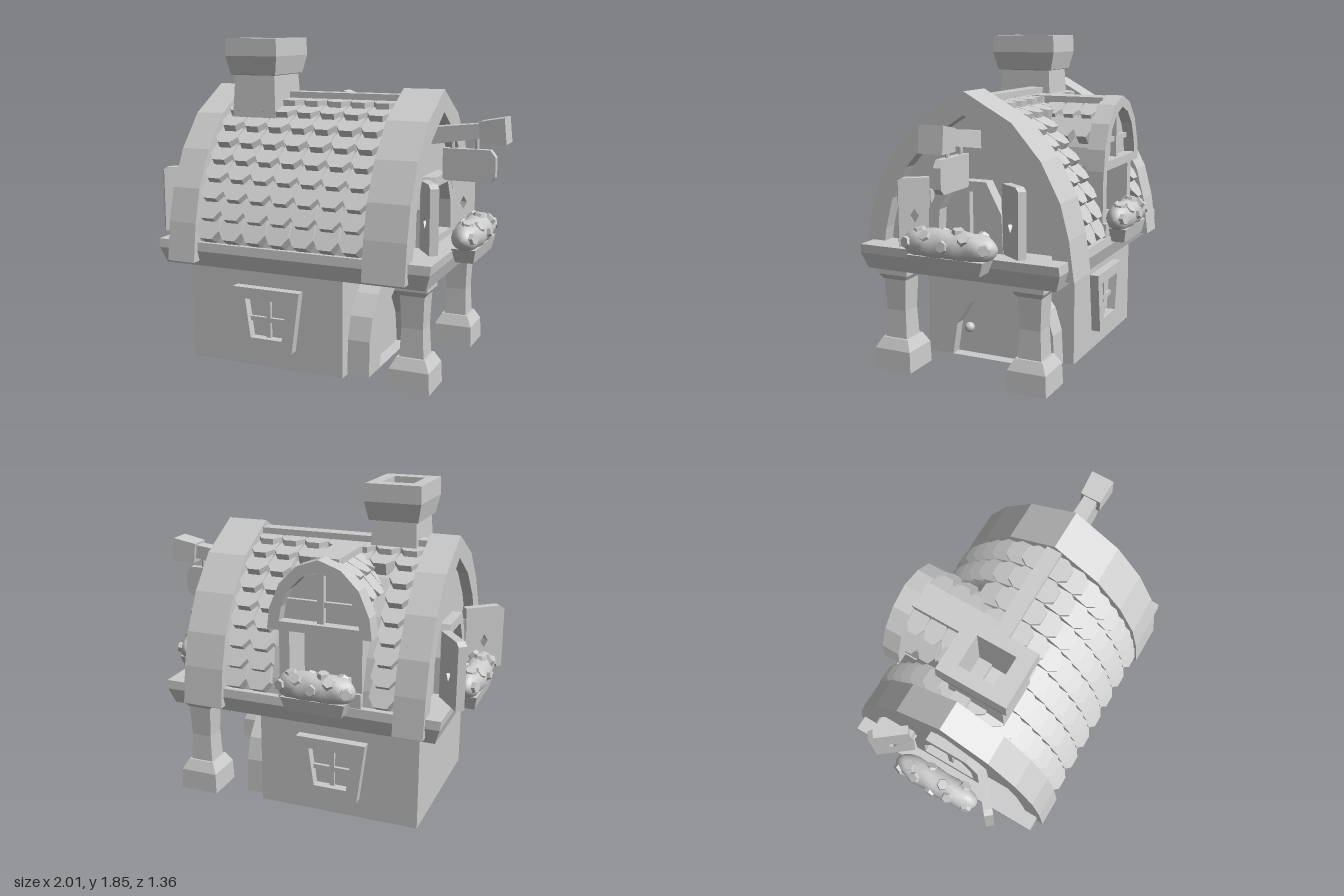
import * as THREE from 'three';
import { mergeGeometries } from 'three/addons/utils/BufferGeometryUtils.js';

const ZC = 0.045; // depth of the ridge line
const mat = new THREE.MeshStandardMaterial({ color: 0xcccccc, flatShading: true, side: THREE.DoubleSide });
const smoothMat = new THREE.MeshStandardMaterial({ color: 0xcccccc, side: THREE.DoubleSide });

export function createModel() {
  const root = new THREE.Group();
  const add = (name, geo, parent = root, material = mat) => {
    const m = new THREE.Mesh(geo, material);
    m.name = name;
    parent.add(m);
    return m;
  };
  const group = (name, parent = root) => {
    const g = new THREE.Group();
    g.name = name;
    parent.add(g);
    return g;
  };
  // Box given by its limits
  const box = (x0, x1, y0, y1, z0, z1) =>
    new THREE.BoxGeometry(x1 - x0, y1 - y0, z1 - z0).translate((x0 + x1) / 2, (y0 + y1) / 2, (z0 + z1) / 2);
  // Four-sided block with different bottom and top sizes
  const frustum = (w0, d0, w1, d1, y0, y1, x = 0, z = 0) => {
    const g = new THREE.BoxGeometry(1, y1 - y0, 1), p = g.attributes.position;
    for (let i = 0; i < p.count; i++) {
      const top = p.getY(i) > 0;
      p.setX(i, p.getX(i) * (top ? w1 : w0));
      p.setZ(i, p.getZ(i) * (top ? d1 : d0));
    }
    return g.translate(x, (y0 + y1) / 2, z);
  };
  // Square-section post from a profile of [half width, height]
  const squareLathe = (pts, depthRatio = 1) =>
    new THREE.LatheGeometry(pts.map(([r, y]) => new THREE.Vector2(r * Math.SQRT2, y)), 4)
      .rotateY(Math.PI / 4).scale(1, 1, depthRatio);
  const poly = (pts) => new THREE.Shape(pts.map(([x, y]) => new THREE.Vector2(x, y)));
  // Half profile, from the foot to the peak, mirrored into a full outline
  const flip = (half) => half.map(([x, y]) => [-x, y]);
  const arch = (half) => poly([...half, ...flip(half.filter((p) => p[0] > 0)).reverse()]);
  const ring = (outer, inner) => { outer.holes.push(inner); return outer; };
  const extrude = (shape, depth) => new THREE.ExtrudeGeometry(shape, { depth, bevelEnabled: false });
  const alongX = (shape, x0, x1) => extrude(shape, x1 - x0).rotateY(Math.PI / 2).translate(x0, 0, ZC);
  const rect = (x0, x1, y0, y1) => poly([[x0, y0], [x1, y0], [x1, y1], [x0, y1]]);

  // Ground floor: hollow walls open underneath
  add('groundFloorWalls', extrude(ring(rect(-0.73, 0.22, -0.52, 0.43), rect(-0.72, 0.21, -0.51, 0.42)), 0.59).rotateX(-Math.PI / 2));

  // Arched doorway
  const door = group('doorway');
  const doorInner = [[0.24, 0], [0.21, 0.19], [0.12, 0.33], [0, 0.4]];
  add('doorArch', alongX(ring(arch([[0.41, 0], [0.4, 0.2], [0.36, 0.33], [0.27, 0.44], [0.14, 0.53], [0, 0.56]]), arch(doorInner)), 0.21, 0.35), door);
  add('doorPanel', alongX(arch(doorInner), 0.21, 0.28), door);
  add('doorKnob', new THREE.SphereGeometry(0.03, 16, 10).translate(0.3, 0.16, 0.2), door, smoothMat);

  // Flared windows on both long walls
  for (const s of [1, -1]) {
    const w = group('groundFloorWindow');
    const trap = (t, b, y1, y0) => poly([[-b, y0], [b, y0], [t, y1], [-t, y1]]);
    add('windowFrame', extrude(ring(trap(0.207, 0.16, 0.47, 0.115), trap(0.13, 0.098, 0.405, 0.18)), 0.058), w);
    add('windowMullion', box(-0.013, 0.013, 0.17, 0.41, 0, 0.025), w);
    add('windowBar', box(-0.12, 0.12, 0.27, 0.296, 0, 0.025), w);
    w.position.set(-0.228, 0, ZC + s * 0.47);
    if (s < 0) w.rotation.y = Math.PI;
  }

  // Porch columns, open underneath
  const column = [[0.117, 0], [0.112, 0.12], [0.08, 0.18], [0.068, 0.18], [0.06, 0.34], [0.068, 0.52], [0.075, 0.525], [0.09, 0.55], [0.09, 0.59]];
  for (const z of [0.46, -0.365]) add('porchColumn', squareLathe(column).translate(0.62, 0, z));

  // Upper floor slab
  add('floorSlab', frustum(1.56, 1.14, 1.62, 1.2, 0.58, 0.67, -0.06, 0.04));
  add('floorSlabRim', frustum(1.62, 1.2, 1.63, 1.19, 0.67, 0.72, -0.06, 0.04));

  // Roof: attic end walls, shell with a dormer recess, thick end bands and ridge
  const DX = -0.19; // dormer centre
  const bandOuter = [[0.635, 0.61], [0.605, 0.83], [0.555, 1.02], [0.445, 1.23], [0.28, 1.42], [0, 1.575]];
  const bandInner = [[0.53, 0.61], [0.5, 0.8], [0.455, 0.97], [0.36, 1.15], [0.22, 1.31], [0, 1.45]];
  const shell = [[0.575, 0.62], [0.55, 0.81], [0.5, 0.98], [0.39, 1.18], [0.24, 1.36], [0, 1.5]];
  const recessed = poly([[0.36, 0.62], [0.36, 1.14], [0.41, 1.14], ...shell.slice(3), ...flip(shell.slice(0, 5)).reverse()]);
  add('leftAtticWall', alongX(arch(bandInner), 0.39, 0.55));
  add('rightAtticWall', alongX(arch(bandInner), -0.73, -0.62));
  add('roofShellRight', alongX(arch(shell), -0.63, DX - 0.2));
  add('roofShellMiddle', alongX(recessed, DX - 0.2, DX + 0.2));
  add('roofShellLeft', alongX(arch(shell), DX + 0.2, 0.4));
  add('leftRoofBand', alongX(ring(arch(bandOuter), arch(bandInner)), 0.39, 0.63));
  add('rightRoofBand', alongX(ring(arch(bandOuter), arch(bandInner)), -0.79, -0.62));
  add('roofRidge', box(-0.62, 0.39, 1.44, 1.54, ZC - 0.045, ZC + 0.045));

  // Roof tiles: rows of chamfered wedges, tipped out at the foot, laid down a half profile facing +z
  function tiles(half, x0, pitch, cols, rows, u0, u1, keep = () => true) {
    const curve = new THREE.CatmullRomCurve3(half.map(([z, y]) => new THREE.Vector3(0, y, z)).reverse());
    const w = pitch * 0.49, out = [];
    const shape = poly([[-w, 0.05], [-w * 0.52, 0], [w * 0.52, 0], [w, 0.05], [w * 0.9, 0.15], [-w * 0.9, 0.15]]);
    for (let r = 0; r < rows; r++) {
      const u = u0 + ((u1 - u0) * r) / (rows - 1);
      const p = curve.getPointAt(u), up = curve.getTangentAt(u).negate();
      const X = new THREE.Vector3(1, 0, 0), N = X.clone().cross(up);
      const m = new THREE.Matrix4().makeBasis(X, up, N);
      for (let c = 0; c < cols; c++) {
        const x = x0 + (c + 0.5) * pitch;
        if (!keep(x, p.y)) continue;
        m.setPosition(x, p.y, p.z);
        out.push(extrude(shape, 0.07).rotateX(-0.42).applyMatrix4(m));
      }
    }
    return mergeGeometries(out);
  }
  add('frontTiles', tiles(shell, -0.62, 0.1443, 7, 9, 0.14, 0.91).translate(0, 0, ZC));
  add('backTiles', tiles(shell, -0.39, 0.1443, 7, 9, 0.14, 0.91, (x, y) => Math.abs(x + DX) > 0.26 || y > 1.3)
    .rotateY(Math.PI).translate(0, 0, ZC));

  // Chimney with a flared, hollow top
  const flue = [[0.15, 1.15], [0.126, 1.64], [0.143, 1.645], [0.1635, 1.75], [0.16, 1.85], [0.09, 1.85], [0.085, 1.5], [0, 1.5]];
  add('chimney', squareLathe(flue, 1.245).translate(-0.433, 0, 0.12));

  // Dormer on the back slope
  const dormer = group('dormer');
  const dOuter = [[0.3, 1.11], [0.285, 1.23], [0.225, 1.37], [0.125, 1.47], [0, 1.515]];
  const dInner = [[0.23, 1.16], [0.215, 1.24], [0.17, 1.34], [0.095, 1.415], [0, 1.45]];
  const dRoof = [[0.235, 1.11], [0.22, 1.23], [0.175, 1.33], [0.1, 1.405], [0, 1.44]];
  add('dormerArch', extrude(ring(arch(dOuter), arch(dInner)), 0.105).translate(0, 0, 0.45), dormer);
  add('dormerRoof', extrude(arch(dRoof), 0.49), dormer);
  add('dormerRidge', box(-0.08, 0.08, 1.4, 1.505, 0.01, 0.46), dormer);
  add('dormerMullion', box(-0.018, 0.018, 1.15, 1.45, 0.48, 0.525), dormer);
  add('dormerBar', box(-0.2, 0.2, 1.25, 1.28, 0.48, 0.515), dormer);
  for (const s of [1, -1]) {
    add('dormerTiles', tiles(dRoof, -0.165, 0.11, 3, 2, 0.42, 0.68).rotateY(s * Math.PI / 2).translate(0, 0, 0.29), dormer);
    add('dormerPost', box(s * 0.21 - 0.03, s * 0.21 + 0.03, 0.7, 1.13, 0.32, 0.53), dormer);
  }
  add('dormerSill', box(-0.24, 0.24, 0.7, 0.8, 0.3, 0.55), dormer);
  dormer.rotation.y = Math.PI;
  dormer.position.x = DX;

  // Gable windows at both ends
  for (const [name, x0, x1] of [['leftGableWindow', 0.53, 0.63], ['rightGableWindow', -0.79, -0.71]]) {
    const w = group(name);
    add('archedFrame', alongX(ring(arch([[0.23, 0.7], [0.22, 0.93], [0.13, 1.1]]), arch([[0.165, 0.76], [0.155, 0.93], [0.095, 1.045]])), x0, x1), w);
    const xm = (x0 + x1) / 2;
    add('mullion', box(xm - 0.02, xm + 0.02, 0.74, 1.06, ZC - 0.015, ZC + 0.015), w);
  }

  // Open shutters, each from its hinge to its free edge, with a diamond cut-out
  for (const [x0, z0, x1, z1] of [[0.6, 0.28, 0.7, 0.42], [0.6, -0.19, 0.7, -0.33], [-0.78, 0.27, -0.97, 0.43], [-0.79, -0.2, -0.93, -0.38]]) {
    const L = Math.hypot(x1 - x0, z1 - z0), c = L * 0.5;
    const s = poly([[0, 0.72], [L, 0.72], [L, 1.08], [L - 0.03, 1.1], [0, 1.1]]);
    s.holes.push(poly([[c - 0.025, 0.89], [c, 0.85], [c + 0.025, 0.89], [c, 0.93]]));
    const m = add('shutter', extrude(s, 0.05).translate(0, 0, -0.025));
    m.rotation.y = Math.atan2(z0 - z1, x1 - x0);
    m.position.set(x0, 0, z0);
    add('hinge', box(x0 - 0.02, x0 + 0.02, 0.96, 1.03, z0 - 0.02, z0 + 0.02));
  }

  // Flower boxes: lumpy foliage with six-sided blossoms over a tray
  function flowerBox(name, len, depth, x, y, z, turn) {
    const f = group(name);
    const surface = (a, t) => { // a runs along the box, t around it
      const r = Math.pow(Math.max(0, 1 - Math.pow(Math.abs(a), 4)), 0.5) * (1 + 0.06 * Math.sin(a * 11 + t * 3));
      return new THREE.Vector3((a * len) / 2, 0.785 + 0.085 * r * Math.sin(t), (depth / 2) * r * Math.cos(t));
    };
    const g = new THREE.CylinderGeometry(1, 1, 2, 16, 24, true), p = g.attributes.position;
    for (let i = 0; i < p.count; i++) {
      const a = Math.sin((p.getY(i) * Math.PI) / 2);
      const v = surface(a, -Math.atan2(p.getZ(i), p.getX(i)));
      p.setXYZ(i, v.x, v.y, v.z);
    }
    g.computeVertexNormals();
    add('foliage', g, f, smoothMat);
    for (let i = 0; i < 9; i++) {
      const a = -0.84 + i * 0.21, t = [0.15, 1.45, 0.75, 2.4][i % 4];
      const b = add('blossom', new THREE.CylinderGeometry(0.03, 0.04, 0.04, 6), f);
      b.position.copy(surface(a, t));
      b.quaternion.setFromUnitVectors(new THREE.Vector3(0, 1, 0), new THREE.Vector3(a * 0.4, Math.sin(t), Math.cos(t)).normalize());
      b.translateY(-0.008);
    }
    add('tray', frustum(len * 0.72, depth * 0.6, len * 0.82, depth * 0.8, 0.65, 0.73), f);
    f.rotation.y = turn;
    f.position.set(x, y, z);
  }
  flowerBox('leftFlowerBox', 0.55, 0.17, 0.815, 0, 0.035, Math.PI / 2);
  flowerBox('rightFlowerBox', 0.54, 0.15, -0.915, 0, 0.035, -Math.PI / 2);
  flowerBox('backFlowerBox', 0.45, 0.15, DX, 0.035, -0.59, Math.PI);

  // Hanging sign on a bracket beam
  const sign = group('hangingSign');
  const beam = add('signBeam', frustum(0.1, 0.11, 0.08, 0.08, -0.2, 0.2).rotateZ(-Math.PI / 2), sign);
  beam.position.set(0.67, 1.332, 0.035);
  beam.rotation.z = 0.13;
  const head = add('beamHead', frustum(0.12, 0.125, 0.145, 0.14, -0.073, 0.073).rotateZ(-Math.PI / 2), sign);
  head.position.set(0.918, 1.355, 0.035);
  head.rotation.z = 0.1;
  const board = poly([[0.63, 1.08], [0.65, 1.07], [0.9, 1.07], [0.93, 1.1], [0.93, 1.21], [0.9, 1.25], [0.63, 1.25]]);
  add('signBoard', extrude(board, 0.045).translate(0, 0, 0.015), sign);
  for (const x of [0.68, 0.82]) add('signHanger', new THREE.CylinderGeometry(0.012, 0.012, 0.1, 8).translate(x, 1.28, 0.037), sign);

  return root;
}
